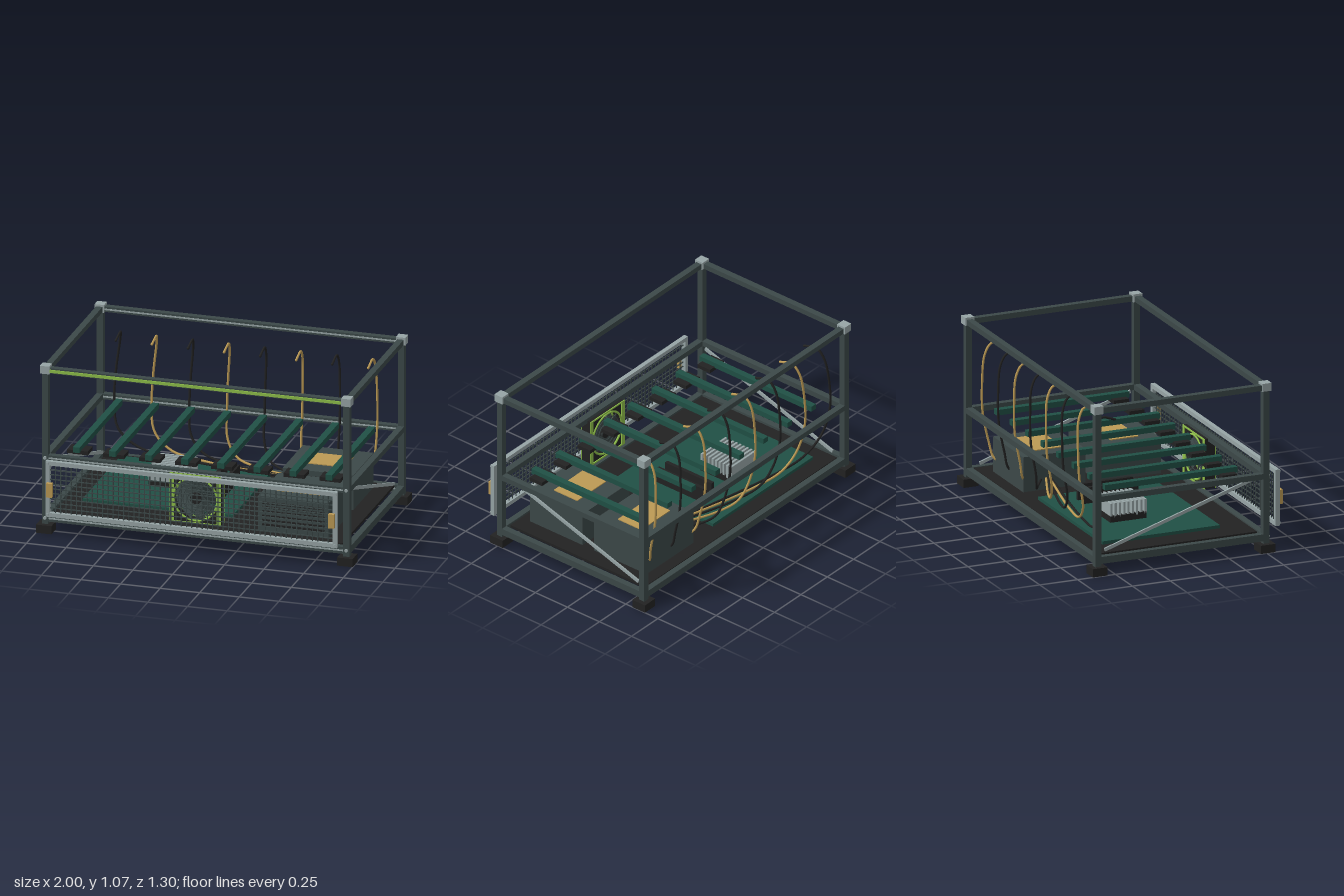
import * as THREE from 'three';

const mat = (name, color) => {
  const m = new THREE.MeshStandardMaterial({ color });
  m.name = name;
  return m;
};

export function createModel() {
  const root = new THREE.Group();
  root.name = 'computerRack';
  const slate = mat('slate', 0x3c4848), black = mat('black', 0x222222);
  const green = mat('boardGreen', 0x205045), silver = mat('silver', 0x97a5a6);
  const gold = mat('gold', 0xbc9a54), lime = mat('lime', 0x8fc04a);

  const add = (name, geo, m, x = 0, y = 0, z = 0, parent = root) => {
    const mesh = new THREE.Mesh(geo, m);
    mesh.name = name;
    mesh.position.set(x, y, z);
    parent.add(mesh);
    return mesh;
  };
  // box given by its limits on each axis
  const box = (name, m, x0, x1, y0, y1, z0, z1, parent = root) =>
    add(name, new THREE.BoxGeometry(x1 - x0, y1 - y0, z1 - z0), m,
      (x0 + x1) / 2, (y0 + y1) / 2, (z0 + z1) / 2, parent);
  const group = (name) => {
    const g = new THREE.Group();
    g.name = name;
    root.add(g);
    return g;
  };

  // Frame: posts, feet, corner caps, three levels of rails
  const PX = 0.951, ZF = 0.51, ZB = -0.6, H = 0.02;
  const levels = [[0.068, 0.112], [0.46, 0.495], [1.023, 1.057]];
  const frame = group('frame');
  for (const x of [-PX, PX]) {
    for (const z of [ZF, ZB]) {
      box('post', slate, x - H, x + H, 0.05, 1.03, z - H, z + H, frame);
      box('foot', black, x - 0.049, x + 0.049, 0, 0.052, z - 0.049, z + 0.049, frame);
      box('cornerCap', silver, x - 0.03, x + 0.03, 1.02, 1.07, z - 0.03, z + 0.03, frame);
    }
    for (const [a, b] of levels) box('sideRail', slate, x - H, x + H, a, b, ZB + H, ZF - H, frame);
    for (const y of [0.092, 0.478]) {
      const screw = add('screw', new THREE.CylinderGeometry(0.011, 0.011, 0.01, 12), silver, x, y, ZF + H + 0.003, frame);
      screw.rotation.x = Math.PI / 2;
    }
  }
  for (const z of [ZF, ZB])
    levels.forEach(([a, b], i) => {
      box('longRail', slate, -PX + H, PX - H, a, b, z - H, z + H, frame);
      if (!(z === ZF && i === 2)) {
        const y = (a + b) / 2;
        box('railSlot', silver, -0.93, 0.93, y - 0.005, y + 0.005, z + H, z + H + 0.002, frame);
      }
    });
  box('lightStrip', lime, -0.92, 0.92, 1.03, 1.048, ZF + H, ZF + H + 0.007, frame);

  // Diagonal side braces
  const bTop = new THREE.Vector2(0.46, 0.46), bLow = new THREE.Vector2(-0.535, 0.137);
  for (const x of [-0.92, 0.92]) {
    const brace = add('sideBrace', new THREE.BoxGeometry(0.012, 0.02, bTop.distanceTo(bLow)), silver,
      x, (bTop.y + bLow.y) / 2, (bTop.x + bLow.x) / 2);
    brace.rotation.x = -Math.atan2(bTop.y - bLow.y, bTop.x - bLow.x);
  }

  // Floor and main board
  box('floorPlate', black, -0.91, 0.91, 0.098, 0.115, -0.578, 0.475);
  const board = group('mainBoard');
  box('boardPlate', green, -0.79, 0.16, 0.125, 0.145, -0.49, 0.285, board);
  for (const x of [-0.72, 0.09]) for (const z of [-0.42, 0.21])
    box('standoff', black, x - 0.015, x + 0.015, 0.115, 0.125, z - 0.015, z + 0.015, board);
  box('coolerBase', black, -0.48, -0.245, 0.145, 0.185, -0.3, -0.06, board);
  for (let i = 0; i < 9; i++) {
    const z = -0.293 + i * 0.0283;
    box('coolerFin', silver, -0.48, -0.245, 0.175, 0.265, z - 0.007, z + 0.007, board);
  }
  for (const x of [-0.07, 0.01]) box('memoryStick', black, x - 0.012, x + 0.012, 0.145, 0.245, -0.3, 0.065, board);

  // Power supplies with top label and front grille
  for (const z of [0, -0.5]) {
    const psu = group('powerSupply');
    box('case', slate, 0.357, 0.803, 0.113, 0.337, z, z + 0.411, psu);
    box('label', gold, 0.44, 0.712, 0.337, 0.343, z + 0.115, z + 0.298, psu);
    for (let i = 0; i < 6; i++) {
      const y = 0.157 + i * 0.028;
      box('grilleBar', black, 0.385, 0.775, y - 0.006, y + 0.006, z + 0.411, z + 0.42, psu);
    }
  }

  // Card bars with brackets, and a cable for each slot
  const cards = group('cardBars'), cables = group('cables');
  for (let i = 0; i < 8; i++) {
    const x = -0.798 + i * 0.2277;
    box('cardBar', green, x - 0.021, x + 0.021, 0.475, 0.51, -0.487, 0.388, cards);
    box('bracket', black, x - 0.066, x + 0.066, 0.458, 0.482, 0.268, 0.365, cards);
    const d = 0.567 - x;
    const path = new THREE.CatmullRomCurve3([
      [x, 0.912, -0.415], [x, 0.935, -0.51], [x - 0.012 * d, 0.87, -0.555], [x - 0.034 * d, 0.68, -0.572],
      [x - 0.042 * d, 0.5, -0.567], [x - 0.018 * d, 0.31, -0.53], [x + 0.08 * d, 0.21, -0.505],
      [x + 0.3 * d, 0.178, -0.455], [0.48, 0.19, -0.3],
    ].map((p) => new THREE.Vector3(...p)));
    const m = i % 2 ? gold : black;
    add('cable', new THREE.TubeGeometry(path, 64, 0.0075, 8), m, 0, 0, 0, cables);
    add('cableTip', new THREE.SphereGeometry(0.0085, 10, 8), m, x, 0.912, -0.415, cables);
  }

  // Fan: square frame with round opening, lime rims and strips, blades and hub
  const fan = group('fan');
  fan.position.set(0, 0.318, 0.502);
  const s = 0.158;
  const square = new THREE.Shape([[-s, -s], [s, -s], [s, s], [-s, s]].map((p) => new THREE.Vector2(...p)));
  const hole = new THREE.Path();
  hole.absarc(0, 0, 0.138, 0, Math.PI * 2, true);
  square.holes.push(hole);
  add('fanFrame', new THREE.ExtrudeGeometry(square, { depth: 0.066, bevelEnabled: false, curveSegments: 32 }),
    black, 0, 0, -0.033, fan);
  for (const side of [-1, 1]) {
    add('rim', new THREE.TorusGeometry(0.138, 0.007, 8, 48), lime, 0, 0, side * 0.033, fan);
    for (const t of [-1, 1]) {
      box('rimStrip', lime, t * 0.148 - 0.014, t * 0.148 + 0.014, -s, s, side * 0.036 - 0.003, side * 0.036 + 0.003, fan);
      box('rimEdge', lime, -s, s, t * 0.153 - 0.005, t * 0.153 + 0.005, side * 0.036 - 0.003, side * 0.036 + 0.003, fan);
    }
    for (const r of [0.05, 0.08, 0.11])
      add('guardRing', new THREE.TorusGeometry(r, 0.003, 6, 36), slate, 0, 0, side * 0.033, fan);
  }
  for (let i = 0; i < 9; i++) {
    const arm = new THREE.Group();
    arm.name = 'blade';
    arm.rotation.z = (i / 9) * Math.PI * 2;
    fan.add(arm);
    add('bladePlate', new THREE.BoxGeometry(0.1, 0.075, 0.006), slate, 0.08, 0, 0, arm).rotation.x = 0.4;
  }
  const hub = add('hub', new THREE.CylinderGeometry(0.035, 0.035, 0.062, 24), black, 0, 0, 0, fan);
  hub.rotation.x = Math.PI / 2;

  // Detached front panel: border, wire mesh, screws and handles
  const panel = group('frontPanel');
  const W = 0.92, Y0 = 0.135, Y1 = 0.492, b = 0.026, Z0 = 0.594, Z1 = 0.622;
  for (const [a, c] of [[Y0, Y0 + b], [Y1 - b, Y1]]) box('borderRail', silver, -W, W, a, c, Z0, Z1, panel);
  for (const t of [-1, 1]) {
    const x = t * (W - b / 2);
    box('borderSide', silver, x - b / 2, x + b / 2, Y0 + b, Y1 - b, Z0, Z1, panel);
    box('handle', gold, t * 0.891 - 0.019, t * 0.891 + 0.019, 0.268, 0.358, Z1, 0.647, panel);
    for (const y of [0.149, 0.478]) {
      const screw = add('panelScrew', new THREE.CylinderGeometry(0.01, 0.01, 0.008, 12), silver, x, y, Z1 + 0.002, panel);
      screw.rotation.x = Math.PI / 2;
    }
  }
  const cols = 54, rows = 10;
  for (let i = 1; i < cols; i++) {
    const x = -W + b + (i / cols) * 2 * (W - b);
    box('meshWire', slate, x - 0.003, x + 0.003, Y0 + b, Y1 - b, 0.605, 0.611, panel);
  }
  for (let i = 1; i < rows; i++) {
    const y = Y0 + b + (i / rows) * (Y1 - Y0 - 2 * b);
    box('meshWire', slate, -W + b, W - b, y - 0.003, y + 0.003, 0.608, 0.614, panel);
  }

  return root;
}
